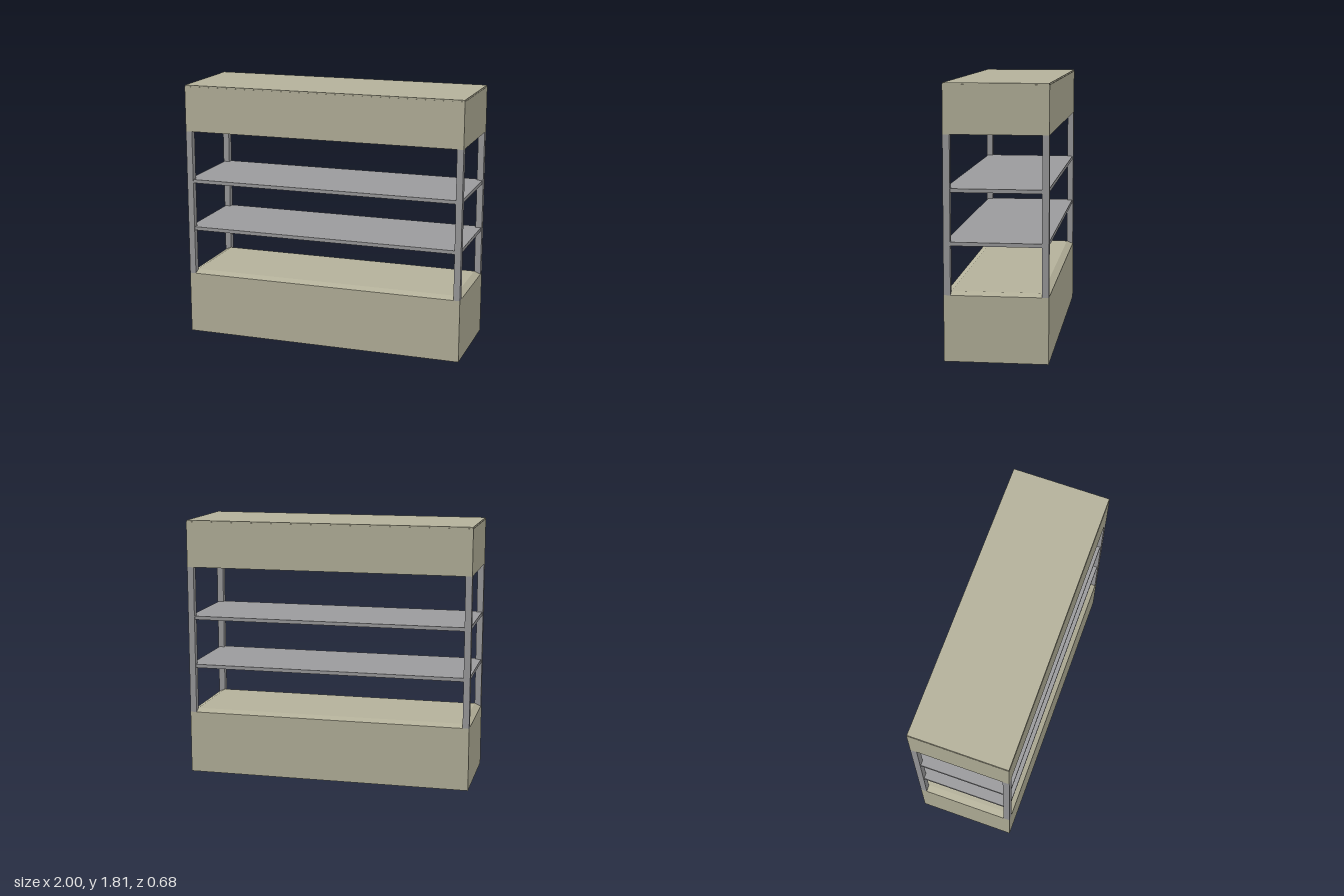
import * as THREE from 'three';

const HX = 1, HZ = 0.342, POST = 0.045;
const BASE_TOP = 0.44, CANOPY_BOTTOM = 1.482, RECESS = 1.66, TOP = 1.81;

export function createModel() {
  const model = new THREE.Group();
  const beige = new THREE.MeshStandardMaterial({ color: 0xb4b19a });
  beige.name = 'beige panel';
  const grey = new THREE.MeshStandardMaterial({ color: 0x9a9a9c });
  grey.name = 'grey metal';

  // Box given by its full width and depth, and its bottom and top heights
  function box(name, material, w, d, y0, y1, x = 0, z = 0, parent = model) {
    const mesh = new THREE.Mesh(new THREE.BoxGeometry(w, y1 - y0, d), material);
    mesh.position.set(x, (y0 + y1) / 2, z);
    mesh.name = name;
    parent.add(mesh);
    return mesh;
  }

  // Four walls around an open rectangle
  function frame(name, y0, y1, t) {
    const group = new THREE.Group();
    group.name = name;
    for (const s of [-1, 1]) {
      box('longWall', beige, 2 * HX, t, y0, y1, 0, s * (HZ - t / 2), group);
      box('endWall', beige, t, 2 * (HZ - t), y0, y1, s * (HX - t / 2), 0, group);
    }
    model.add(group);
  }

  // Hollow plinth, open underneath
  frame('plinthWalls', 0, BASE_TOP, 0.006);

  // Plinth deck with edges sloping down to the walls
  const deck = box('plinthDeck', beige, 2 * HX, 2 * HZ, BASE_TOP, 0.46);
  const p = deck.geometry.attributes.position;
  for (let i = 0; i < p.count; i++) {
    if (p.getY(i) > 0) {
      p.setX(i, Math.sign(p.getX(i)) * (HX - POST));
      p.setZ(i, Math.sign(p.getZ(i)) * (HZ - POST));
    }
  }
  deck.geometry = deck.geometry.toNonIndexed();
  deck.geometry.computeVertexNormals();

  // Corner posts
  for (const sx of [-1, 1]) {
    for (const sz of [-1, 1]) {
      box('cornerPost', grey, POST, POST, BASE_TOP, CANOPY_BOTTOM,
        sx * (HX - POST / 2), sz * (HZ - POST / 2));
    }
  }

  // Shelves
  for (const y of [0.763, 1.11]) {
    box('shelf', grey, 2 * HX - 0.014, 2 * HZ - 0.014, y, y + 0.025);
  }

  // Canopy: thick rim around a shallow recess, closed above
  const rim = 0.072;
  frame('canopyRim', CANOPY_BOTTOM, RECESS, rim);
  box('canopyBody', beige, 2 * HX, 2 * HZ, RECESS, TOP - 0.01);
  box('canopyLid', beige, 2 * HX - 0.004, 2 * HZ - 0.004, TOP - 0.01, TOP);
  for (const s of [-1, 1]) {
    box('recessEndPlate', grey, 0.004, 2 * (HZ - rim), CANOPY_BOTTOM + 0.001, RECESS,
      s * (HX - rim - 0.002));
  }
  return model;
}
